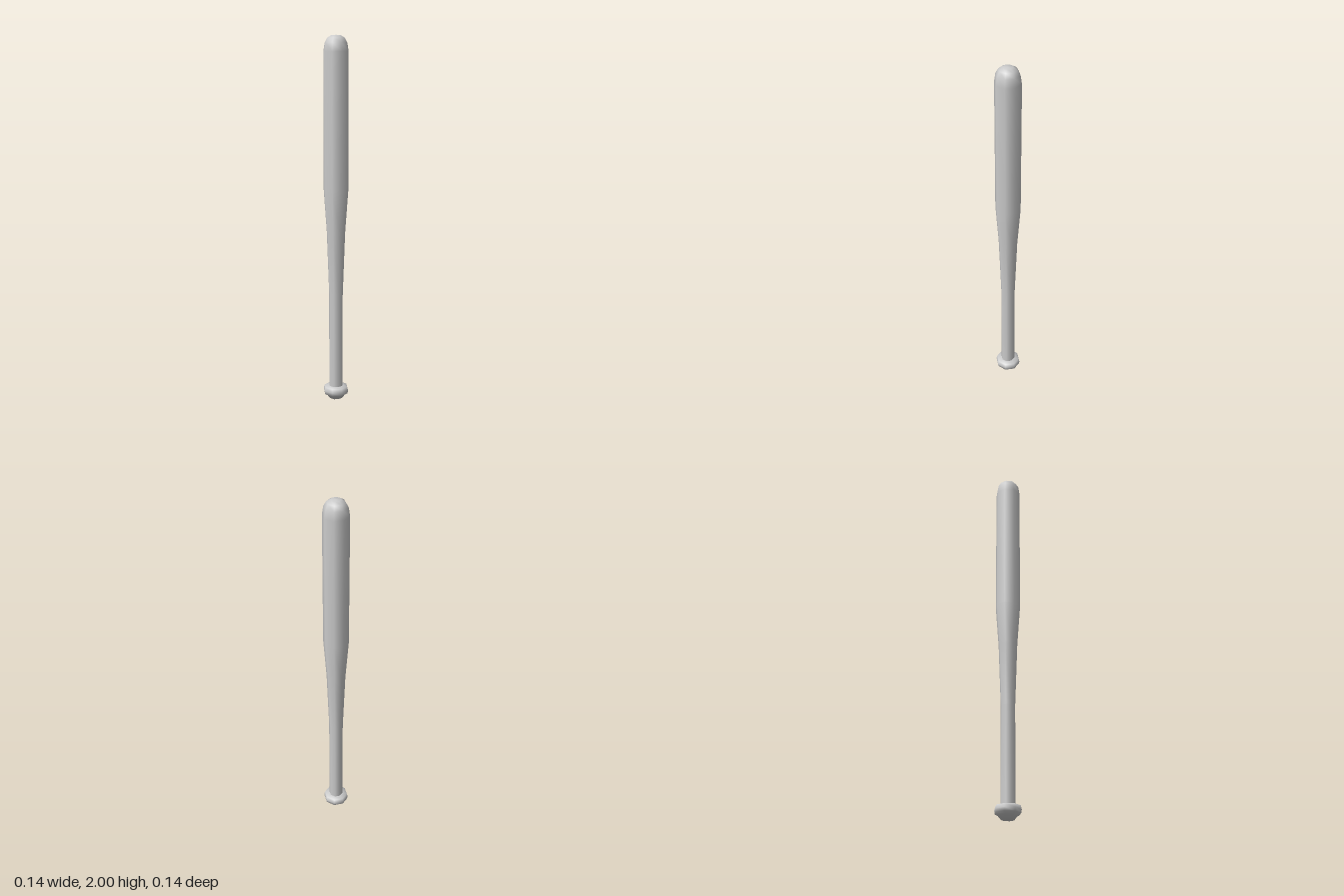
import * as THREE from 'three';

const SIDES = 8;

// Turns a [radius, height] profile, listed from bottom to top, about the y axis.
function turned(name, profile, material) {
  const points = profile.map(([r, y]) => new THREE.Vector2(r, y));
  const mesh = new THREE.Mesh(new THREE.LatheGeometry(points, SIDES), material);
  mesh.name = name;
  return mesh;
}

export function createModel() {
  const group = new THREE.Group();
  group.name = 'bat';
  const material = new THREE.MeshStandardMaterial({ color: 0xcccccc });

  // Rounded knob at the foot of the handle
  group.add(turned('knob', [
    [0, 0], [0.036, 0.002], [0.052, 0.022], [0.068, 0.032],
    [0.071, 0.05], [0.066, 0.07], [0.039, 0.075],
  ], material));

  // Straight grip, flaring taper, barrel and domed end
  group.add(turned('shaft', [
    [0.039, 0.075], [0.039, 0.6], [0.052, 0.95], [0.069, 1.18],
    [0.069, 1.915], [0.062, 1.96], [0.048, 1.985], [0.026, 1.998], [0, 2],
  ], material));

  return group;
}
